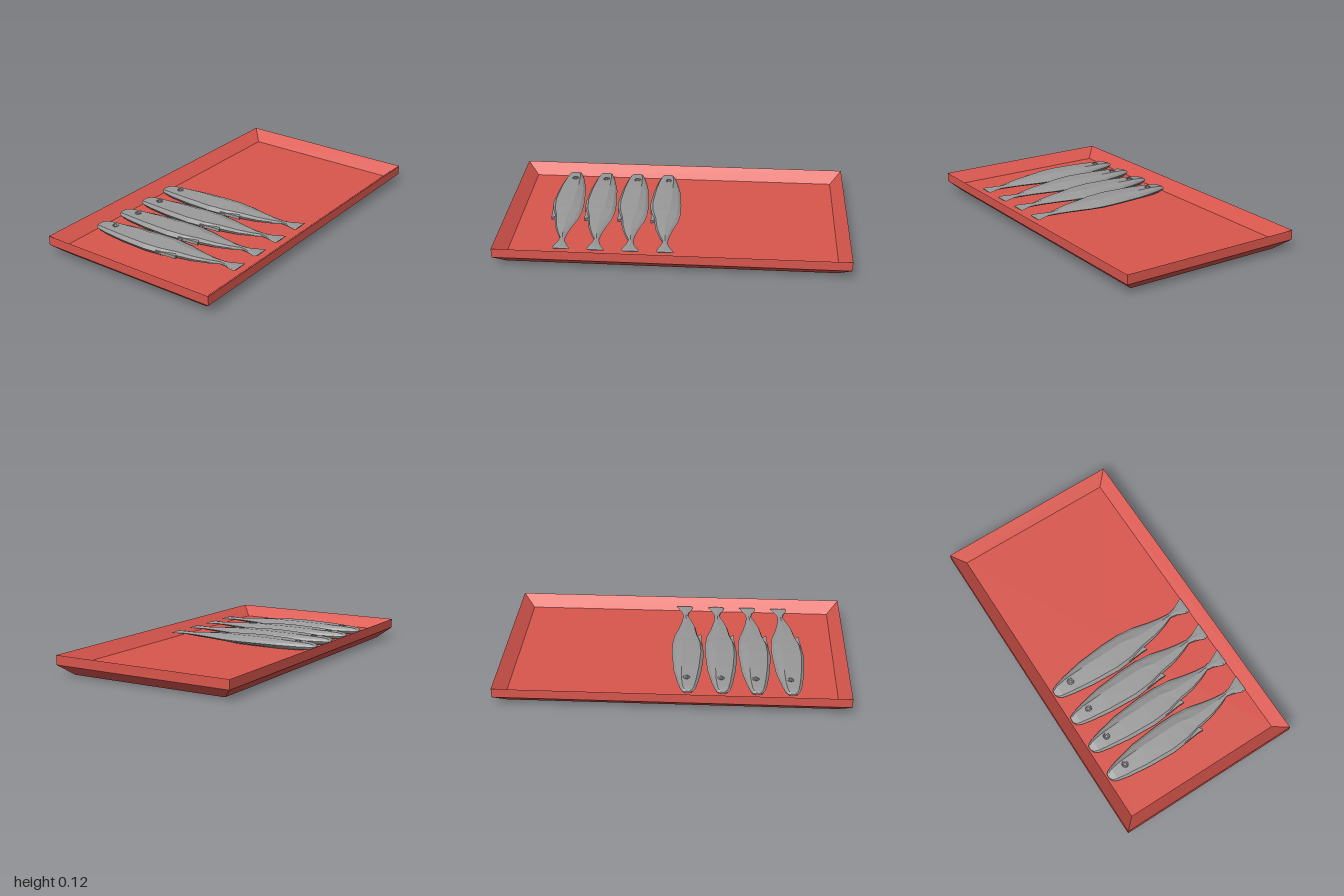
import * as THREE from 'three';

// Faceted skin over closed rings (counter-clockwise seen from the last ring), capped at both ends
function loft(rings) {
  const pos = [];
  const tri = (a, b, c) => pos.push(...a, ...b, ...c);
  const mid = ring => [0, 1, 2].map(k => ring.reduce((s, p) => s + p[k], 0) / ring.length);
  const n = rings[0].length;
  const first = rings[0], last = rings[rings.length - 1];
  for (let j = 0; j < n; j++) {
    const k = (j + 1) % n;
    for (let i = 0; i < rings.length - 1; i++) {
      const a = rings[i], b = rings[i + 1];
      tri(a[j], a[k], b[k]);
      tri(a[j], b[k], b[j]);
    }
    tri(mid(first), first[k], first[j]);
    tri(mid(last), last[j], last[k]);
  }
  const g = new THREE.BufferGeometry();
  g.setAttribute('position', new THREE.Float32BufferAttribute(pos, 3));
  g.computeVertexNormals();
  return g;
}

// Fish stations: z, belly x, ridge x, back x, half thickness, centre height
const STATIONS = [
  [-0.477, -0.018, 0.002, 0.014, 0.006, 0.080],
  [-0.465, -0.040, 0.012, 0.026, 0.013, 0.080],
  [-0.440, -0.052, 0.022, 0.037, 0.019, 0.081],
  [-0.380, -0.064, 0.030, 0.055, 0.024, 0.081],
  [-0.250, -0.080, 0.037, 0.083, 0.028, 0.082],
  [-0.080, -0.088, 0.040, 0.100, 0.029, 0.083],
  [0.030, -0.076, 0.042, 0.104, 0.028, 0.083],
  [0.120, -0.046, 0.025, 0.096, 0.025, 0.083],
  [0.220, -0.028, 0.028, 0.072, 0.020, 0.083],
  [0.300, -0.002, 0.032, 0.058, 0.015, 0.083],
  [0.360, 0.024, 0.038, 0.053, 0.011, 0.084],
  [0.400, 0.017, 0.040, 0.061, 0.009, 0.085],
  [0.460, -0.004, 0.040, 0.090, 0.006, 0.086],
  [0.478, 0.002, 0.045, 0.098, 0.003, 0.086],
];

function bodySection([z, l, m, r, t, y]) {
  const nearBelly = l + (m - l) * 0.14, nearBack = m + (r - m) * 0.7;
  return [
    [l, y, z], [nearBelly, y - t * 0.75, z], [m, y - t, z], [nearBack, y - t * 0.5, z],
    [r, y, z], [nearBack, y + t * 0.5, z], [m, y + t, z], [nearBelly, y + t * 0.75, z],
  ];
}

export function createModel() {
  const red = new THREE.MeshStandardMaterial({ color: 0xd9564d });
  red.name = 'tray red';
  const grey = new THREE.MeshStandardMaterial({ color: 0x999999 });
  grey.name = 'fish grey';

  const model = new THREE.Group();
  const add = (parent, name, geo, mat) => {
    const m = new THREE.Mesh(geo, mat);
    m.name = name;
    parent.add(m);
    return m;
  };

  // Tray: flared base, upright lip, sloping inside walls and floor
  const rect = (w, d, y) => [[w, y, d], [w, y, -d], [-w, y, -d], [-w, y, d]];
  add(model, 'tray', loft([
    rect(0.93, 0.485, 0), rect(1, 0.555, 0.06), rect(1, 0.555, 0.115), rect(0.93, 0.485, 0.053),
  ]), red);

  // Shared fish geometry
  const body = loft(STATIONS.map(bodySection));
  const finSection = (z, a, b) => [[a, 0.073, z], [b, 0.073, z], [b, 0.091, z], [a, 0.091, z]];
  const fin = loft([
    finSection(0.0, -0.078, -0.02), finSection(0.095, -0.067, -0.012),
    finSection(0.115, -0.067, -0.04), finSection(0.13, -0.067, -0.058),
  ]);
  const eyeRing = new THREE.TorusGeometry(0.017, 0.003, 6, 16).rotateX(Math.PI / 2);
  const eyeBall = new THREE.SphereGeometry(0.009, 10, 6);

  // Four fish side by side, heads towards the back
  for (let i = 0; i < 4; i++) {
    const fish = new THREE.Group();
    fish.name = 'fish' + (i + 1);
    fish.position.x = -0.67 + i * 0.196;
    add(fish, 'body', body, grey);
    add(fish, 'bellyFin', fin, grey);
    add(fish, 'eyeRing', eyeRing, grey).position.set(0.003, 0.104, -0.36);
    add(fish, 'eyeBall', eyeBall, grey).position.set(0.003, 0.101, -0.36);
    model.add(fish);
  }
  return model;
}
